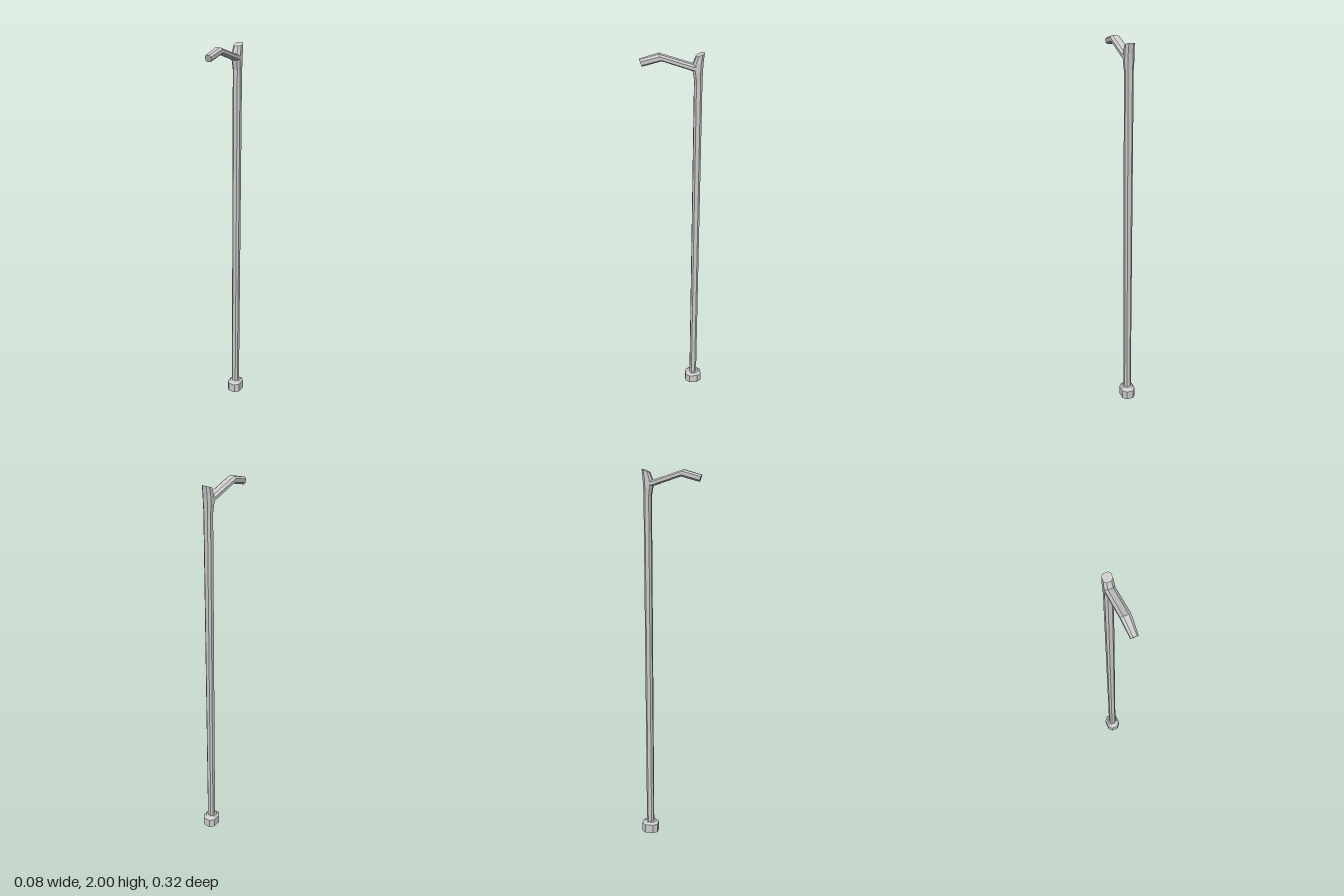
import * as THREE from 'three';

// Eight-sided section: half width in x, spanning between two [y, z] edge points
function ring(halfX, a, b, k = 0.5) {
  const outline = [[1, -k], [1, k], [k, 1], [-k, 1], [-1, k], [-1, -k], [-k, -1], [k, -1]];
  return outline.map(([u, v]) => {
    const t = (v + 1) / 2;
    return [u * halfX, a[0] + (b[0] - a[0]) * t, a[1] + (b[1] - a[1]) * t];
  });
}

// Skin a row of sections and close both ends
function loft(name, rings, material) {
  const n = rings[0].length;
  const index = [];
  for (let r = 0; r < rings.length - 1; r++) {
    for (let i = 0; i < n; i++) {
      const a = r * n + i, b = r * n + (i + 1) % n;
      index.push(a, b, b + n, a, b + n, a + n);
    }
  }
  const last = (rings.length - 1) * n;
  for (let i = 1; i < n - 1; i++) {
    index.push(0, i + 1, i);
    index.push(last, last + i, last + i + 1);
  }
  const geometry = new THREE.BufferGeometry();
  geometry.setAttribute('position', new THREE.Float32BufferAttribute(rings.flat(2), 3));
  geometry.setIndex(index);
  geometry.computeVertexNormals();
  const mesh = new THREE.Mesh(geometry, material);
  mesh.name = name;
  return mesh;
}

export function createModel() {
  const model = new THREE.Group();
  model.name = 'walkingCane';
  const material = new THREE.MeshStandardMaterial({ color: 0xcccccc, flatShading: true });

  // Foot: octagonal block with a chamfered top
  model.add(loft('foot', [
    ring(0.038, [0, -0.069], [0, -0.159]),
    ring(0.038, [0.05, -0.069], [0.05, -0.159]),
    ring(0.027, [0.062, -0.084], [0.062, -0.144]),
  ], material));

  // Shaft: slim pole, flaring forward at the neck and ending in a slanted tip
  model.add(loft('shaft', [
    ring(0.0185, [0.05, -0.095], [0.05, -0.133]),
    ring(0.021, [1.87, -0.095], [1.87, -0.133]),
    ring(0.024, [1.915, -0.087], [1.91, -0.134]),
    ring(0.024, [1.948, -0.088], [1.955, -0.136]),
    ring(0.022, [1.985, -0.102], [2.0, -0.141]),
  ], material));

  // Handle: rises forward from the neck, then bends down to a narrow tip
  model.add(loft('handle', [
    ring(0.024, [1.912, -0.115], [1.945, -0.11]),
    ring(0.024, [1.918, -0.088], [1.95, -0.085]),
    ring(0.024, [1.967, 0.055], [2.0, 0.068]),
    ring(0.017, [1.942, 0.146], [1.975, 0.158]),
  ], material));

  return model;
}
